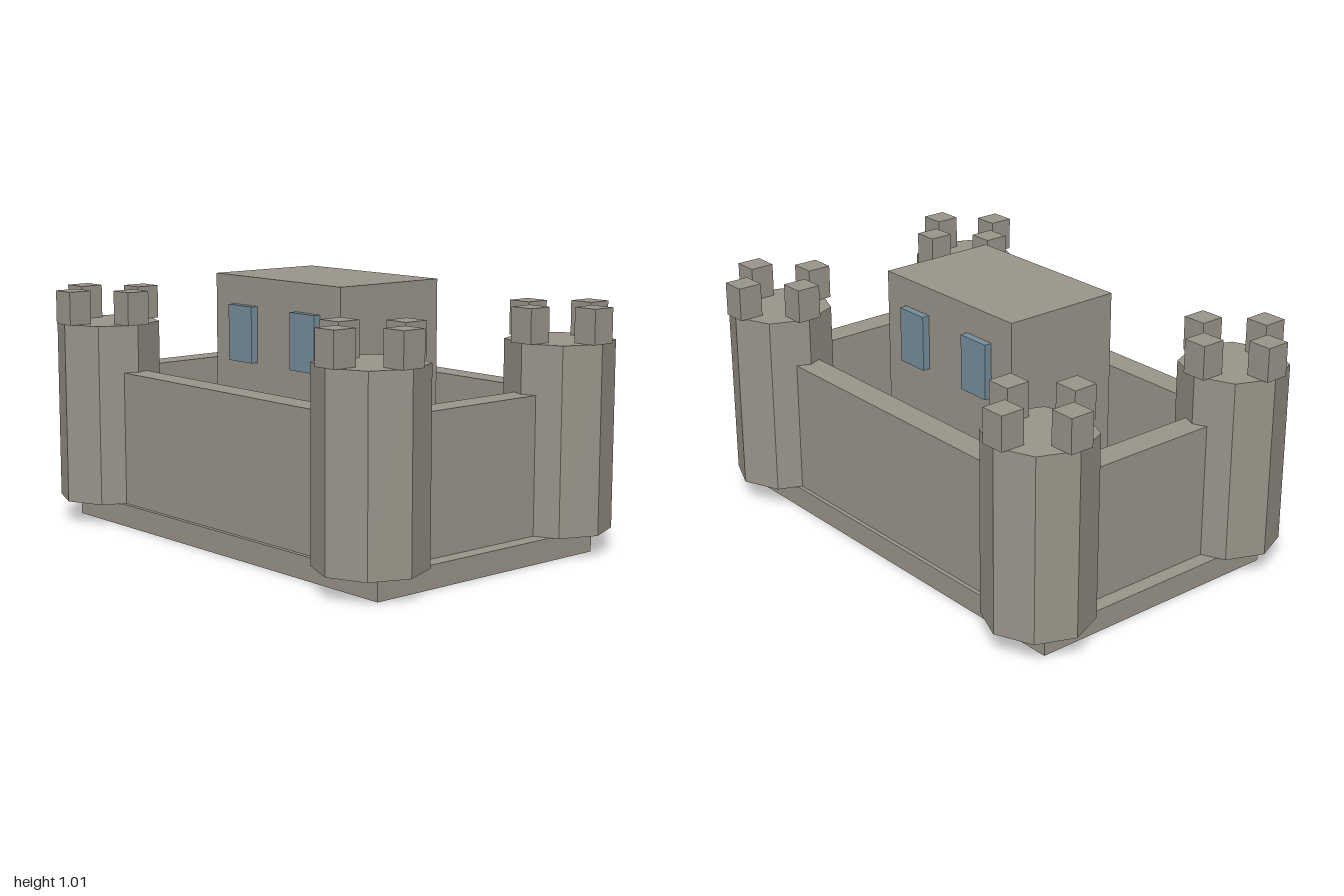
import * as THREE from 'three';

export function createModel() {
  const castle = new THREE.Group();
  castle.name = 'castle';

  const stone = new THREE.MeshStandardMaterial({ name: 'stone', color: 0x9b958a, flatShading: true });
  const glass = new THREE.MeshStandardMaterial({ name: 'blueGlass', color: 0x758e9c, flatShading: true });

  const FLOOR = 0.088, WALL_TOP = 0.616, TOWER_TOP = 0.804;
  const TX = 0.788, TZ = 0.475; // tower centres

  // Box centred on x and z, standing on y
  const box = (name, w, h, d, x, y, z, material = stone, parent = castle) => {
    const mesh = new THREE.Mesh(new THREE.BoxGeometry(w, h, d), material);
    mesh.name = name;
    mesh.position.set(x, y + h / 2, z);
    parent.add(mesh);
    return mesh;
  };

  // Base slab and central keep
  box('base', 1.804, FLOOR, 1.09, 0, 0, 0);
  box('keep', 0.735, 1.012 - FLOOR, 0.49, 0, FLOOR, 0);

  // Curtain walls between the towers
  const wallHeight = WALL_TOP - FLOOR;
  for (const s of [1, -1]) {
    box(s > 0 ? 'frontWall' : 'backWall', 2 * TX, wallHeight, 0.107, 0, FLOOR, s * TZ);
    box(s > 0 ? 'leftWall' : 'rightWall', 0.107, wallHeight, 2 * TZ, s * TX, FLOOR, 0);
  }

  // Windows standing proud of the keep, front and back
  for (const sz of [1, -1]) {
    for (const sx of [1, -1]) {
      box('window', 0.14, 0.218, 0.03, sx * 0.184, 0.683, sz * 0.26, glass);
    }
  }

  // Octagonal corner towers with four battlements each
  const towerHeight = TOWER_TOP - FLOOR;
  const towerGeometry = new THREE.CylinderGeometry(0.207, 0.207, towerHeight, 8);
  for (const sx of [1, -1]) {
    for (const sz of [1, -1]) {
      const tower = new THREE.Group();
      tower.name = (sz > 0 ? 'front' : 'back') + (sx > 0 ? 'Left' : 'Right') + 'Tower';
      tower.position.set(sx * TX, 0, sz * TZ);
      const shaft = new THREE.Mesh(towerGeometry, stone);
      shaft.name = 'towerShaft';
      shaft.position.y = FLOOR + towerHeight / 2;
      tower.add(shaft);
      for (const [dx, dz] of [[1, 0], [-1, 0], [0, 1], [0, -1]]) {
        box('battlement', 0.098, 0.132, 0.098, dx * 0.163, TOWER_TOP, dz * 0.163, stone, tower);
      }
      castle.add(tower);
    }
  }

  return castle;
}
